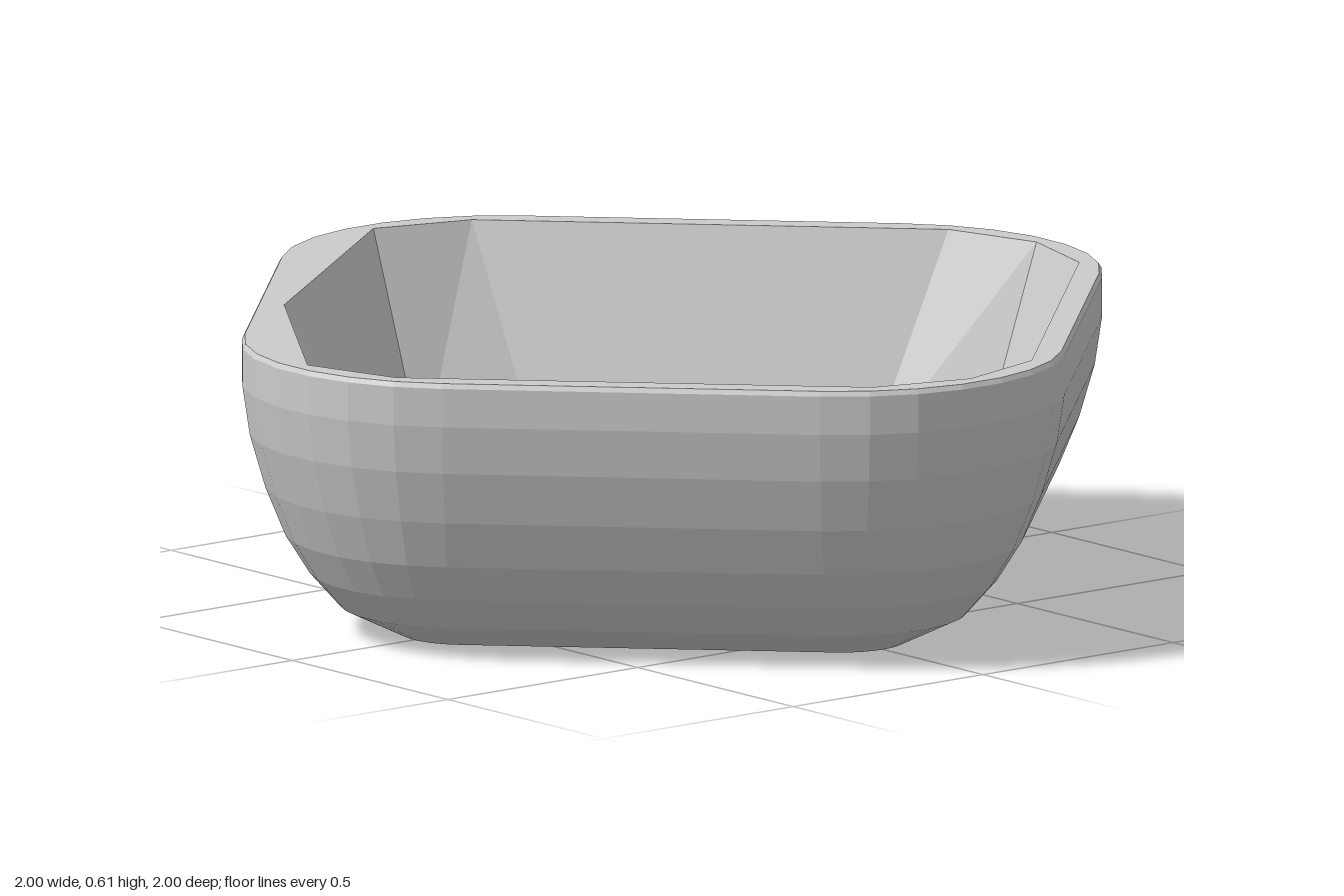
import * as THREE from 'three';

const TOP = 0.61, LEDGE = 0.155, FLOOR = 0.06;
const material = new THREE.MeshStandardMaterial({ color: 0xcccccc, flatShading: true, side: THREE.DoubleSide });

// Repeat one corner's [x, z] points around the four tips, anticlockwise from above
function ring(corner, y) {
  const points = [];
  for (let k = 0; k < 4; k++) {
    for (const [x, z] of corner) {
      points.push(new THREE.Vector3(x, y, z).applyAxisAngle(new THREE.Vector3(0, 1, 0), k * Math.PI / 2));
    }
  }
  return points;
}

// Rounded corner: an arc of radius r about a fixed centre
function outerRing(r, y, segments = 7) {
  const corner = [];
  for (let i = 0; i <= segments; i++) {
    const a = (i / segments - 0.5) * Math.PI / 2;
    corner.push([0.546 + r * Math.cos(a), -r * Math.sin(a)]);
  }
  return ring(corner, y);
}

// Pointed corner with a chamfer on each side
const innerRing = (tip, shoulder, y) => ring([[shoulder, 0.21], [tip, 0], [shoulder, -0.21]], y);

// Triangles joining each line of points to the next
function loft(lines) {
  const tris = [];
  for (let j = 0; j + 1 < lines.length; j++) {
    const a = lines[j], b = lines[j + 1];
    for (let i = 0; i + 1 < a.length; i++) tris.push(a[i], a[i + 1], b[i + 1], a[i], b[i + 1], b[i]);
  }
  return tris;
}

function fan(points) {
  const tris = [];
  for (let i = 1; i + 1 < points.length; i++) tris.push(points[0], points[i], points[i + 1]);
  return tris;
}

export function createModel() {
  const group = new THREE.Group();
  const add = (name, tris) => {
    const geometry = new THREE.BufferGeometry().setFromPoints(tris);
    geometry.computeVertexNormals();
    const mesh = new THREE.Mesh(geometry, material);
    mesh.name = name;
    group.add(mesh);
  };

  // Rounded outside: [corner radius, height]
  const profile = [[0.133, 0], [0.256, 0.06], [0.318, 0.13], [0.368, 0.21], [0.409, 0.31],
    [0.441, 0.42], [0.456, 0.52], [0.456, 0.6], [0.45, TOP]];
  const outer = profile.map(([r, y]) => outerRing(r, y));
  add('outerShell', loft(outer.map((line) => [...line, line[0]])));
  add('base', fan([...outer[0]].reverse()));

  // Three regular inner walls, running from the front tip round to the right tip
  const lip = innerRing(0.96, 0.9, TOP), foot = innerRing(0.8, 0.685, LEDGE);
  foot[0].x = foot[11].z = 0.66; // the front left wall leans in a little more
  const regular = (line) => [line[10], line[11], ...line.slice(0, 8)];
  add('innerWalls', loft([regular(lip), regular(foot)]));

  // The front right wall is folded at its middle and reaches lower
  const lipMid = new THREE.Vector3(-0.49, TOP, 0.62);
  const footMid = new THREE.Vector3(-0.49, 0.12, 0.33);
  const footTip = new THREE.Vector3(0, 0.12, 0.77);
  const fold = new THREE.Vector3(0, 0.36, 0.89);
  add('foldedWall', [
    ...loft([[lip[7], lipMid], [foot[7], footMid]]),
    ...fan([fold, lip[10], lipMid, footMid, footTip]),
  ]);

  // Flat rim between the outer and inner outlines
  const flat = (points) => points.map((p) => new THREE.Vector2(p.x, -p.z));
  const rimShape = new THREE.Shape(flat(outer[outer.length - 1]));
  rimShape.holes.push(new THREE.Path(flat([...regular(lip), lipMid])));
  const rim = new THREE.Mesh(new THREE.ShapeGeometry(rimShape).rotateX(-Math.PI / 2), material);
  rim.position.y = TOP;
  rim.name = 'rim';
  group.add(rim);

  // Back half of the floor: ledges, slopes and the sunken centre
  const centre = new THREE.Vector3(0, FLOOR, 0);
  const edge = ring([[0.8, 0]], LEDGE), low = ring([[0.65, 0]], FLOOR);
  for (let k = 0; k < 2; k++) {
    add('backLedge', fan(foot.slice(1 + 3 * k, 5 + 3 * k)));
    add('backSlope', fan([low[k], edge[k], edge[k + 1], low[k + 1]]));
  }
  add('backFloor', fan([centre, low[0], low[1], low[2]]));

  // Front quarters rise gently from the centre to the wall foot
  add('frontLeftFloor', fan([centre, foot[10], foot[11], foot[0], foot[1]]));
  add('frontRightFloor', fan([centre, foot[7], footMid, footTip]));

  // Small upright steps where the floor parts meet
  for (const k of [0, 2]) add('floorStep', [centre, low[k], edge[k]]);
  add('floorStep', [centre, footTip, foot[10]]);

  return group;
}
